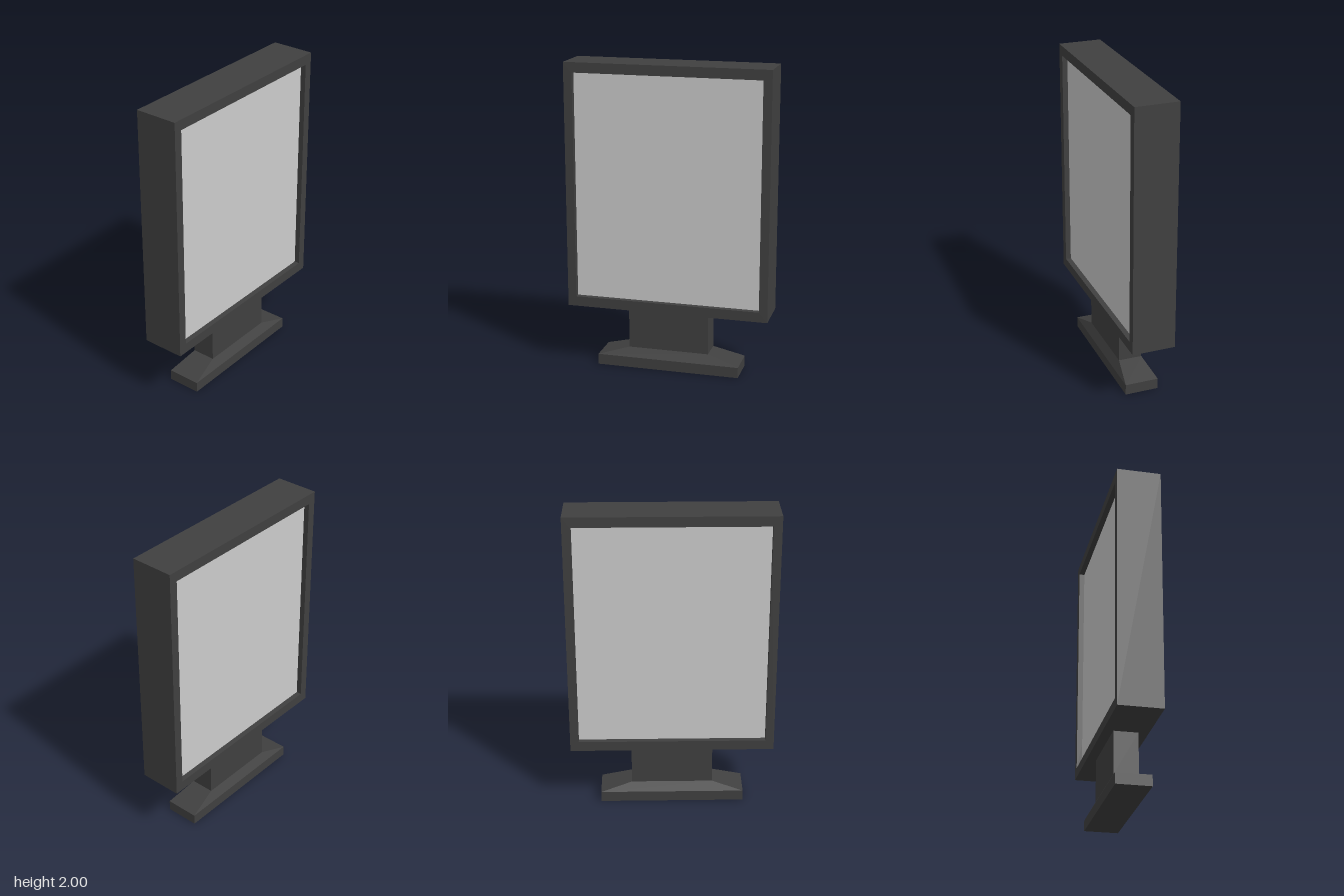
import * as THREE from 'three';

const dark = new THREE.MeshStandardMaterial({ color: 0x404040, flatShading: true });
const grey = new THREE.MeshStandardMaterial({ color: 0xcccccc, flatShading: true });

function rectangle(path, x, y0, y1) {
  path.moveTo(-x, y0);
  path.lineTo(x, y0);
  path.lineTo(x, y1);
  path.lineTo(-x, y1);
  path.closePath();
  return path;
}

// Box standing between two heights
function block(width, depth, y0, y1) {
  return new THREE.BoxGeometry(width, y1 - y0, depth).translate(0, (y0 + y1) / 2, 0);
}

export function createModel() {
  const group = new THREE.Group();
  const add = (name, geometry, material) => {
    const mesh = new THREE.Mesh(geometry, material);
    mesh.name = name;
    group.add(mesh);
  };

  // Deep casing, open through the middle
  const outline = rectangle(new THREE.Shape(), 0.66, 0.405, 2);
  outline.holes.push(rectangle(new THREE.Path(), 0.605, 0.47, 1.935));
  const casing = new THREE.ExtrudeGeometry(outline, { depth: 0.28, bevelEnabled: false });
  casing.translate(0, 0, -0.14);
  add('casing', casing, dark);

  // Display panel, recessed on the front and the back
  add('displayPanel', block(1.21, 0.21, 0.47, 1.935), grey);

  // Post and foot
  add('post', block(0.53, 0.155, 0.13, 0.405), dark);
  add('foot', block(0.94, 0.22, 0, 0.07), dark);

  // Sloping top of the foot, narrowing to the post
  const slope = block(0.94, 0.22, 0.07, 0.13);
  const p = slope.attributes.position;
  for (let i = 0; i < p.count; i++) {
    if (p.getY(i) > 0.1) {
      p.setX(i, Math.sign(p.getX(i)) * 0.265);
      p.setZ(i, Math.sign(p.getZ(i)) * 0.0775);
    }
  }
  slope.computeVertexNormals();
  add('footSlope', slope, dark);

  return group;
}
